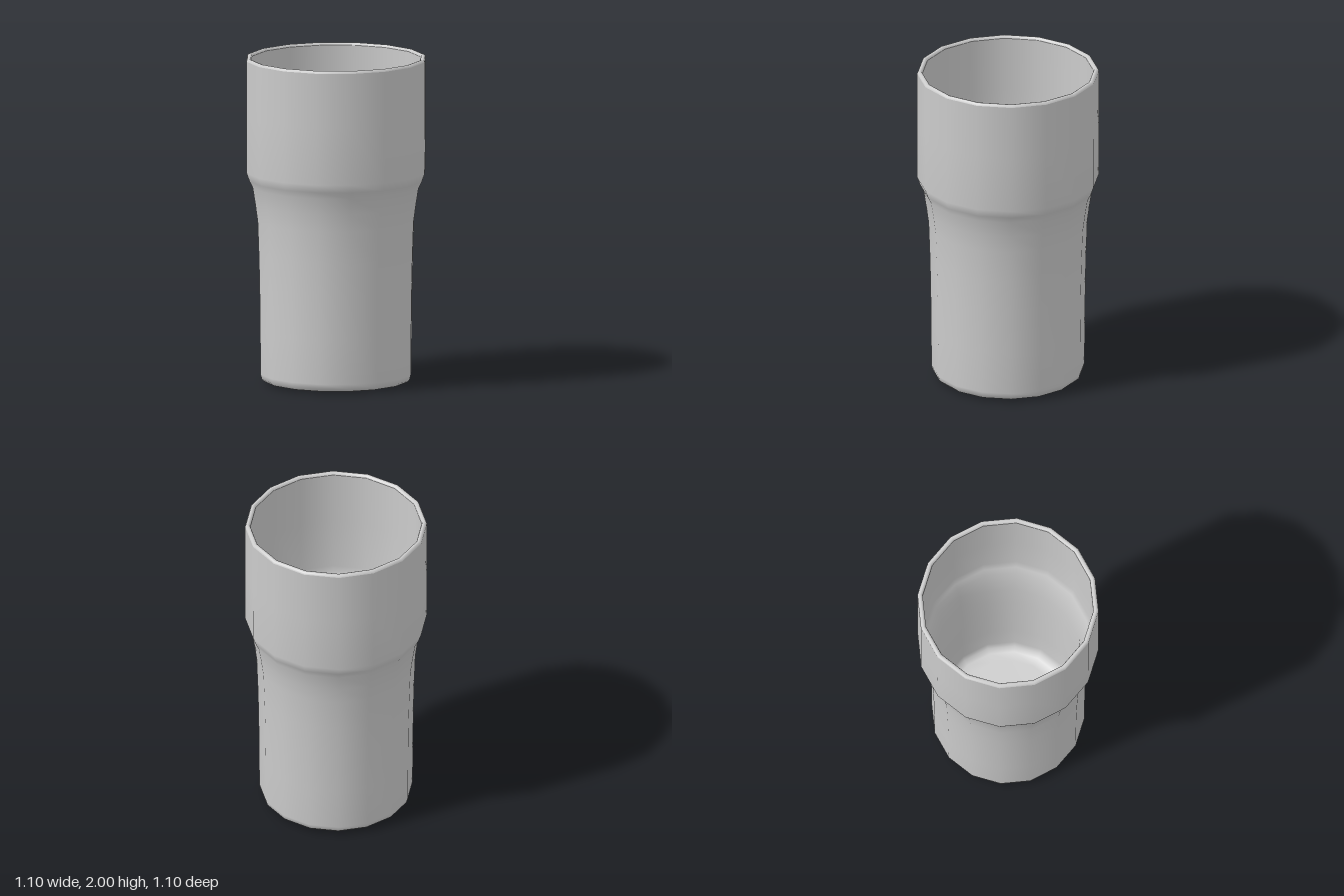
import * as THREE from 'three';

const SIDES = 16;

function lathe(name, points, material) {
  const profile = points.map(([r, y]) => new THREE.Vector2(r, y));
  const mesh = new THREE.Mesh(new THREE.LatheGeometry(profile, SIDES), material);
  mesh.name = name;
  return mesh;
}

export function createModel() {
  const group = new THREE.Group();
  group.name = 'tumbler';
  const material = new THREE.MeshStandardMaterial({ color: 0xcccccc });

  // Underside, rounded foot, slim body, flared shoulder and straight collar
  group.add(lathe('outerWall', [
    [0, 0], [0.3, 0.002], [0.415, 0.008], [0.44, 0.014], [0.457, 0.03], [0.465, 0.06],
    [0.467, 0.33], [0.47, 0.6], [0.475, 0.8], [0.482, 1.0],
    [0.497, 1.11], [0.513, 1.21], [0.533, 1.25], [0.551, 1.3],
    [0.552, 1.65], [0.552, 1.985],
  ], material));

  // Softly rounded lip
  group.add(lathe('rim', [
    [0.552, 1.985], [0.547, 1.997], [0.536, 2], [0.525, 1.997], [0.52, 1.985],
  ], material));

  // Inner wall down to the rounded floor
  group.add(lathe('innerWall', [
    [0.52, 1.985], [0.519, 1.65], [0.517, 1.31], [0.5, 1.26], [0.48, 1.21],
    [0.464, 1.11], [0.45, 1.0], [0.443, 0.8], [0.437, 0.6], [0.432, 0.33],
    [0.428, 0.13], [0.415, 0.09], [0.385, 0.07], [0.33, 0.062], [0, 0.06],
  ], material));

  return group;
}
